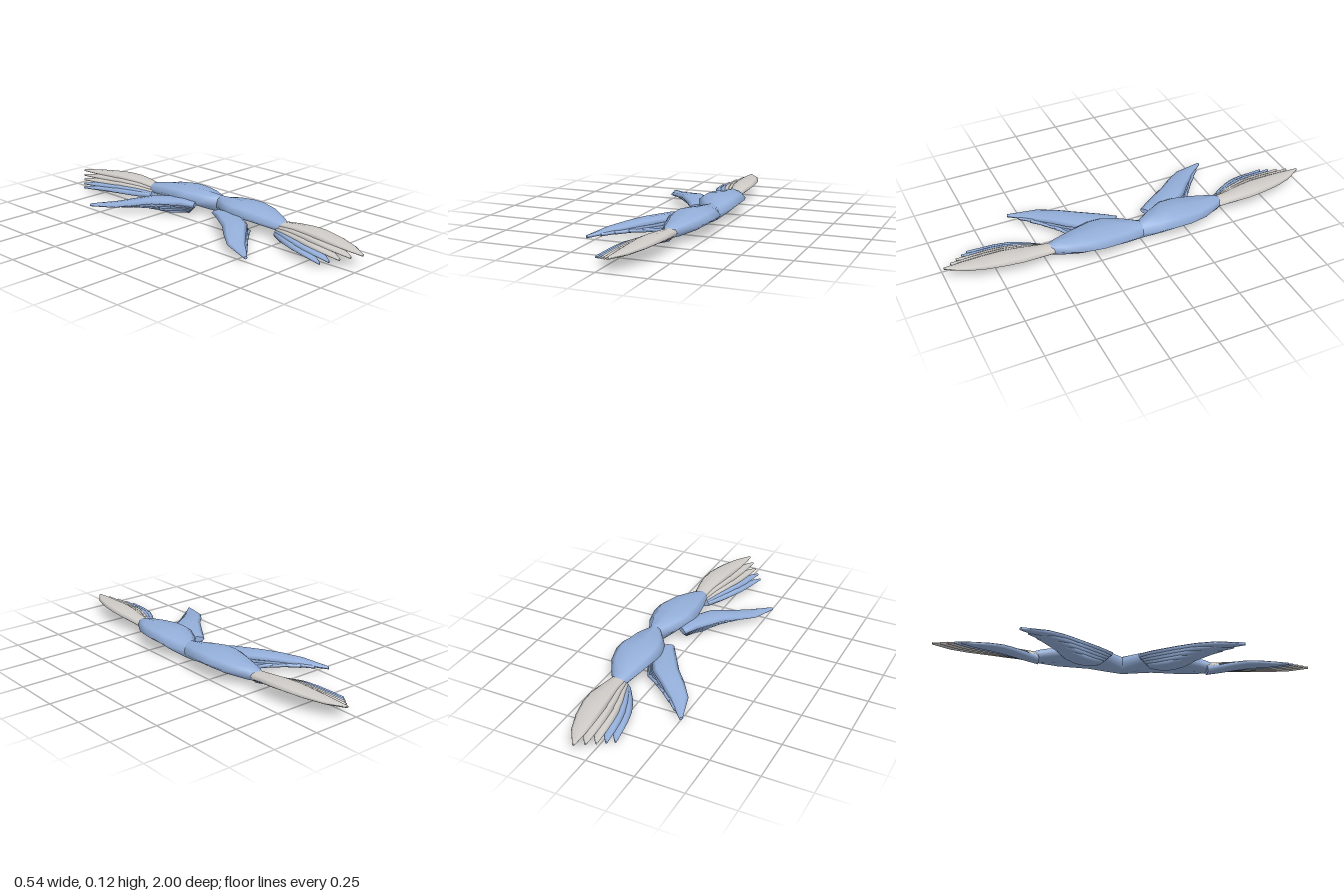
import * as THREE from 'three';

const SIDES = 8;

// Loft of oval sections. rows: [x, y, z, halfWidth, halfHeight]; (ux, uz) is the width direction.
function loft(rows, ux, uz, side) {
  const pos = [], idx = [];
  const tri = (a, b, c) => (side > 0 ? idx.push(a, b, c) : idx.push(a, c, b));
  const ring = ([x, y, z, w, h]) => {
    const start = pos.length / 3;
    for (let j = 0; j < SIDES; j++) {
      const a = (j / SIDES) * Math.PI * 2, c = Math.cos(a) * w;
      pos.push(x + ux * c, y + h * Math.sin(a), side * (z + uz * c));
    }
    return start;
  };
  const starts = rows.map(ring);
  for (let i = 0; i < rows.length - 1; i++) {
    for (let j = 0; j < SIDES; j++) {
      const k = (j + 1) % SIDES, a = starts[i], b = starts[i + 1];
      tri(a + j, a + k, b + k);
      tri(a + j, b + k, b + j);
    }
  }
  // End caps with their own vertices for a sharp edge
  const first = ring(rows[0]), last = ring(rows[rows.length - 1]);
  for (let j = 1; j < SIDES - 1; j++) {
    tri(first, first + j + 1, first + j);
    tri(last, last + j, last + j + 1);
  }
  const g = new THREE.BufferGeometry();
  g.setAttribute('position', new THREE.Float32BufferAttribute(pos, 3));
  g.setIndex(idx);
  g.computeVertexNormals();
  return g;
}

const blend = (a, b, t) => a.map((row, i) => row.map((v, j) => v + (b[i][j] - v) * t));

// Thick inner part of the wing
const ARM = [
  [0.17, 0.063, 0, 0.04, 0.05],
  [0.16, 0.078, 0.09, 0.092, 0.043],
  [0.15, 0.087, 0.17, 0.117, 0.038],
  [0.15, 0.088, 0.24, 0.118, 0.037],
  [0.147, 0.08, 0.34, 0.095, 0.036],
  [0.132, 0.068, 0.44, 0.052, 0.033],
  [0.122, 0.06, 0.495, 0.022, 0.024],
];

// Longest and shortest feathers of the outer fan
const OUTER_LONG = [
  [0.13, 0.065, 0.45, 0.036, 0.022],
  [0.133, 0.075, 0.55, 0.05, 0.02],
  [0.13, 0.081, 0.63, 0.061, 0.018],
  [0.122, 0.083, 0.71, 0.063, 0.016],
  [0.108, 0.079, 0.81, 0.055, 0.013],
  [0.088, 0.074, 0.91, 0.038, 0.01],
  [0.06, 0.07, 1, 0.006, 0.006],
];
const OUTER_SHORT = [
  [0.1, 0.03, 0.45, 0.03, 0.018],
  [0.06, 0.035, 0.53, 0.045, 0.018],
  [0.032, 0.039, 0.59, 0.05, 0.016],
  [0.01, 0.04, 0.64, 0.05, 0.015],
  [-0.015, 0.037, 0.71, 0.042, 0.012],
  [-0.039, 0.031, 0.78, 0.028, 0.01],
  [-0.07, 0.025, 0.85, 0.005, 0.006],
];

// Longest and shortest feathers of the trailing fan
const TRAIL_LONG = [
  [0.055, 0.065, 0.085, 0.035, 0.015],
  [0.04, 0.072, 0.16, 0.063, 0.018],
  [-0.045, 0.071, 0.295, 0.066, 0.018],
  [-0.115, 0.06, 0.36, 0.058, 0.016],
  [-0.19, 0.045, 0.44, 0.046, 0.013],
  [-0.262, 0.03, 0.565, 0.008, 0.008],
];
const TRAIL_SHORT = [
  [0.065, 0.024, 0.13, 0.03, 0.012],
  [0.06, 0.022, 0.18, 0.05, 0.015],
  [0.03, 0.02, 0.235, 0.058, 0.018],
  [0, 0.026, 0.29, 0.055, 0.016],
  [-0.02, 0.035, 0.33, 0.038, 0.013],
  [-0.05, 0.044, 0.383, 0.007, 0.008],
];

export function createModel() {
  const blue = new THREE.MeshStandardMaterial({ color: 0x94afda });
  const paleGrey = new THREE.MeshStandardMaterial({ color: 0xcfccc8 });
  blue.name = 'blue';
  paleGrey.name = 'paleGrey';

  const model = new THREE.Group();
  model.name = 'wings';

  for (const side of [1, -1]) {
    const wing = new THREE.Group();
    wing.name = side > 0 ? 'frontWing' : 'backWing';
    const add = (name, rows, material, ux = 1, uz = 0) => {
      const mesh = new THREE.Mesh(loft(rows, ux, uz, side), material);
      mesh.name = name;
      wing.add(mesh);
    };

    add('wingArm', ARM, blue);
    for (let i = 0; i < 5; i++) {
      const t = i / 4;
      // Outer feathers spread a little wider near the leading edge
      add(`outerFeather${i + 1}`, blend(OUTER_LONG, OUTER_SHORT, t + 0.15 * t * (1 - t)),
        i < 3 ? paleGrey : blue);
      add(`trailingFeather${i + 1}`, blend(TRAIL_LONG, TRAIL_SHORT, t), blue, 0.84, 0.54);
    }
    model.add(wing);
  }
  return model;
}
